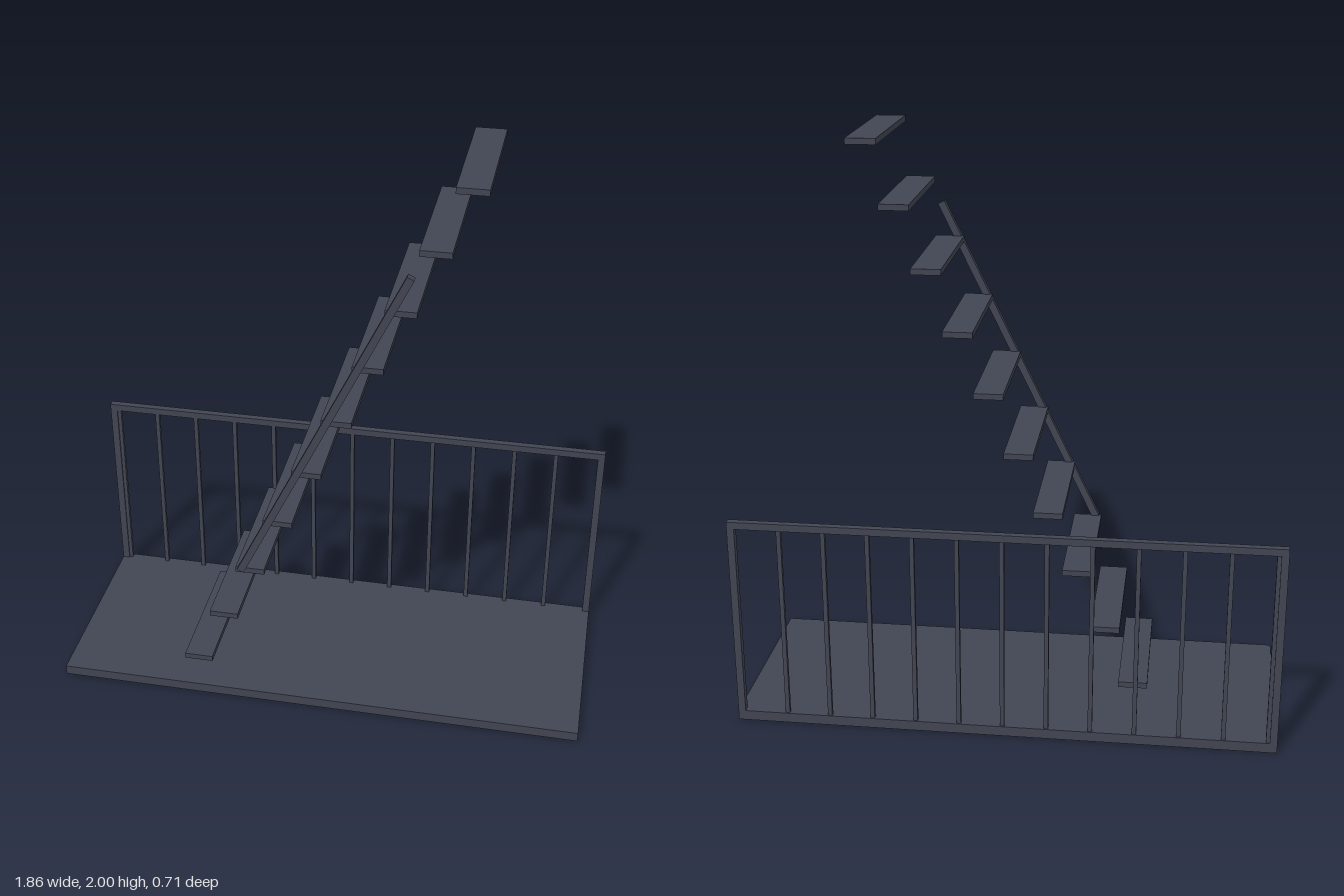
import * as THREE from 'three';

export function createModel() {
  const model = new THREE.Group();
  const slate = new THREE.MeshStandardMaterial({ color: 0x414552 });
  slate.name = 'slate';

  const addBox = (name, size, position, parent = model) => {
    const mesh = new THREE.Mesh(new THREE.BoxGeometry(...size), slate);
    mesh.name = name;
    mesh.position.set(...position);
    parent.add(mesh);
    return mesh;
  };

  // Floor slab
  addBox('platform', [1.855, 0.035, 0.71], [0, 0.0175, 0]);

  // Railing along the back edge
  const railing = new THREE.Group();
  railing.name = 'railing';
  model.add(railing);
  const railZ = -0.3425;
  addBox('topRail', [1.855, 0.025, 0.025], [0, 0.734, railZ], railing);
  for (const side of [-1, 1]) {
    addBox('endPost', [0.025, 0.712, 0.025], [side * 0.915, 0.3905, railZ], railing);
  }
  for (let i = 0; i < 12; i++) {
    addBox('baluster', [0.015, 0.69, 0.015], [-0.897 + i * 0.15, 0.379, railZ], railing);
  }

  // Floating treads climbing towards +x
  const stairs = new THREE.Group();
  stairs.name = 'stairs';
  model.add(stairs);
  for (let i = 0; i < 10; i++) {
    addBox('tread', [0.1, 0.02, 0.498], [-0.432 + i * 0.1, 0.127 + i * 0.207, 0.07], stairs);
  }

  // Sloping bar along the front ends of the treads
  const handrail = addBox('handrail', [0.025, 1.286, 0.025], [0.0175, 1.125, 0.322], stairs);
  handrail.rotation.z = -Math.atan2(0.1, 0.207);

  return model;
}
